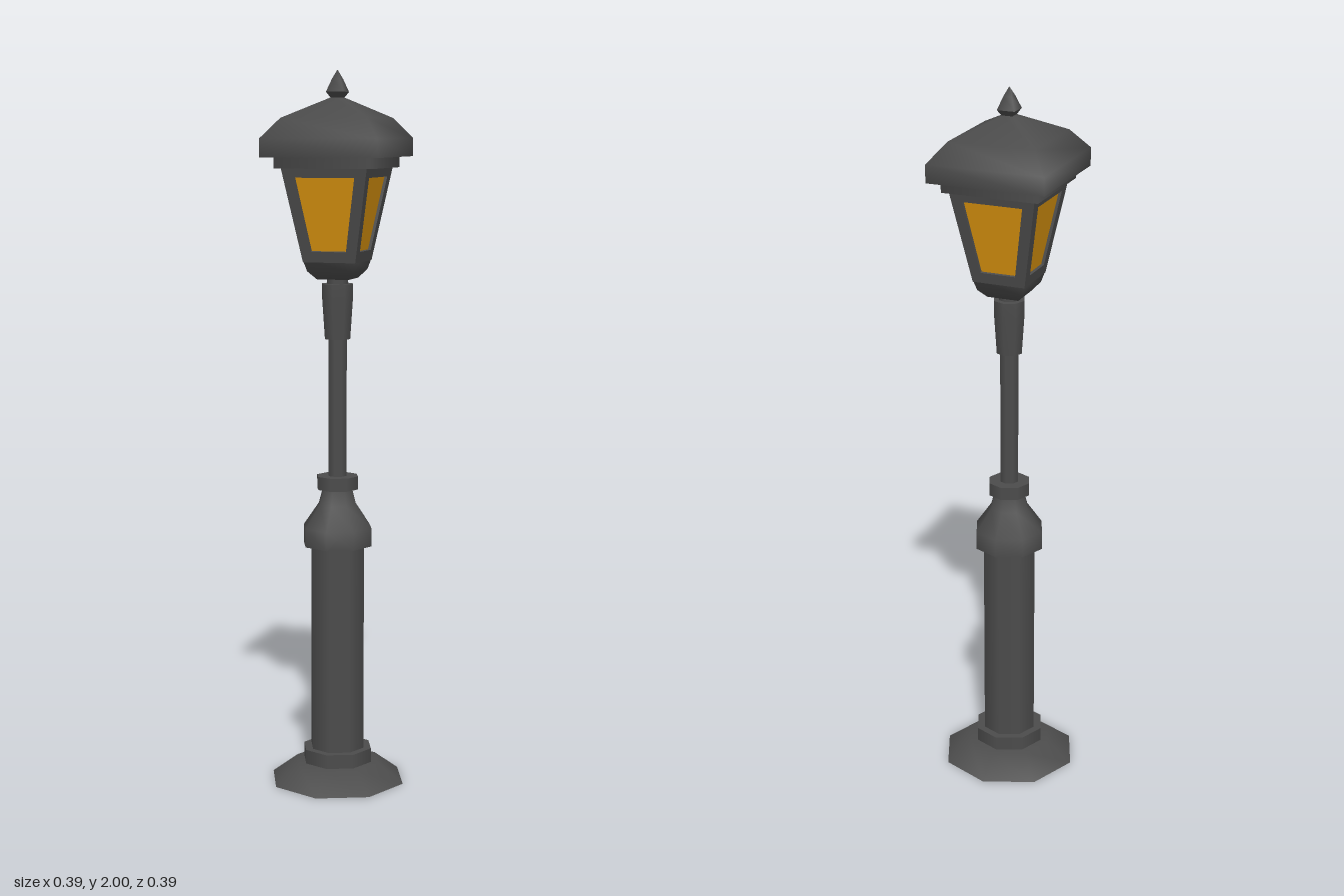
import * as THREE from 'three';
import { mergeGeometries } from 'three/addons/utils/BufferGeometryUtils.js';

const metal = new THREE.MeshStandardMaterial({ color: 0x4c4c4c });
const amber = new THREE.MeshStandardMaterial({ color: 0xd8920f, side: THREE.DoubleSide });

// Turned part from [half width, y] points, bottom to top; sharp profile corners
// are split so they stay crisp. Four sides give a square aligned with x and z.
function turned(name, sides, profile) {
  const scale = sides === 4 ? Math.SQRT2 : 1;
  const start = sides === 4 ? Math.PI / 4 : 0;
  const pts = profile.map(([r, y]) => new THREE.Vector2(r, y));
  const runs = [[pts[0]]];
  for (let i = 1; i < pts.length; i++) {
    runs[runs.length - 1].push(pts[i]);
    if (i === pts.length - 1) break;
    const a = pts[i].clone().sub(pts[i - 1]);
    const b = pts[i + 1].clone().sub(pts[i]);
    if (a.angleTo(b) > 0.85) runs.push([pts[i]]);
  }
  const parts = runs.map((run) => new THREE.LatheGeometry(
    run.map((p) => new THREE.Vector2(p.x * scale, p.y)), sides, start));
  const mesh = new THREE.Mesh(mergeGeometries(parts), metal);
  mesh.name = name;
  return mesh;
}

// Corners of a symmetric trapezoid, anticlockwise
function trapezoid(bottomHalf, topHalf, y0, y1) {
  return [[-bottomHalf, y0], [bottomHalf, y0], [topHalf, y1], [-topHalf, y1]]
    .map(([x, y]) => new THREE.Vector2(x, y));
}

export function createModel() {
  const model = new THREE.Group();
  model.name = 'streetLamp';

  // Octagonal post
  model.add(
    turned('base', 8, [[0, 0], [0.195, 0], [0.122, 0.055], [0, 0.055]]),
    turned('baseCollar', 8, [[0.1, 0.05], [0.1, 0.095], [0.07, 0.095]]),
    turned('pillar', 8, [[0.078, 0.09], [0.078, 0.69]]),
    turned('shoulder', 8, [[0, 0.683], [0.1, 0.683], [0.1, 0.735], [0.055, 0.8], [0.043, 0.845]]),
    turned('shoulderCollar', 8, [[0.03, 0.843], [0.06, 0.843], [0.06, 0.88], [0.02, 0.88]]),
    turned('upperPole', 8, [[0.027, 0.87], [0.027, 1.28]]),
    turned('socket', 8, [[0, 1.265], [0.037, 1.265], [0.045, 1.38], [0.045, 1.418], [0, 1.418]]),
    turned('neck', 8, [[0.03, 1.41], [0.03, 1.44]]),
  );

  // Square lantern cup, rim, roof and finial
  model.add(
    turned('lanternCup', 4, [[0, 1.432], [0.045, 1.432], [0.066, 1.455], [0.075, 1.485], [0, 1.485]]),
    turned('lanternRim', 4, [[0, 1.735], [0.137, 1.735], [0.137, 1.77]]),
    turned('roof', 4, [[0, 1.765], [0.167, 1.765], [0.167, 1.815], [0.122, 1.87], [0.013, 1.926], [0, 1.926]]),
    turned('finial', 4, [[0.012, 1.92], [0.025, 1.94], [0.012, 1.975], [0, 2]]),
  );

  // Four leaning window frames with recessed panes
  const low = 0.075, high = 0.122, y0 = 1.48, y1 = 1.738;
  const slant = Math.hypot(high - low, y1 - y0);
  const hole = trapezoid(0.05, 0.085, 0.03, slant - 0.028);
  const frameShape = new THREE.Shape(trapezoid(low, high, 0, slant));
  frameShape.holes.push(new THREE.Path(hole.slice().reverse()));
  const frameGeometry = new THREE.ExtrudeGeometry(frameShape, { depth: 0.012, bevelEnabled: false });
  frameGeometry.translate(0, 0, -0.012);
  const paneGeometry = new THREE.ShapeGeometry(new THREE.Shape(hole));
  paneGeometry.translate(0, 0, -0.008);

  for (let i = 0; i < 4; i++) {
    const side = new THREE.Group();
    side.name = 'lanternSide';
    side.rotation.y = i * Math.PI / 2;
    const leaning = new THREE.Group();
    leaning.name = 'window';
    leaning.position.set(0, y0, low);
    leaning.rotation.x = Math.atan2(high - low, y1 - y0);
    const frame = new THREE.Mesh(frameGeometry, metal);
    frame.name = 'windowFrame';
    const pane = new THREE.Mesh(paneGeometry, amber);
    pane.name = 'glassPane';
    leaning.add(frame, pane);
    side.add(leaning);
    model.add(side);
  }
  return model;
}
